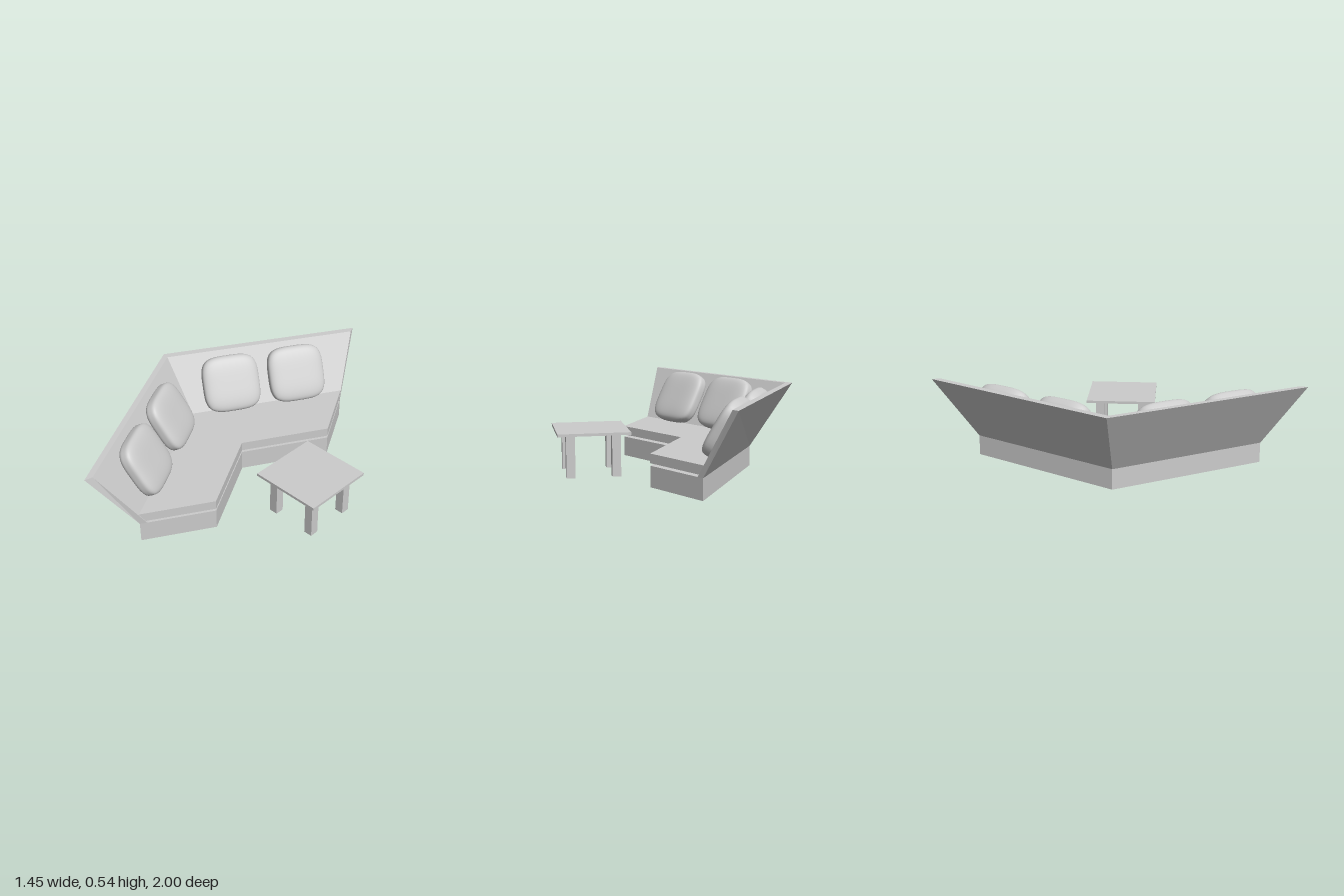
import * as THREE from 'three';
import { mergeVertices } from 'three/addons/utils/BufferGeometryUtils.js';

const flat = new THREE.MeshStandardMaterial({ color: 0xcccccc, flatShading: true });
const smooth = new THREE.MeshStandardMaterial({ color: 0xcccccc });

// Angled sofa footprint as [x, z]
const PLAN = [[-0.49, 0.84], [-0.49, -0.2], [0.41, -0.715], [0.41, -0.26], [-0.09, 0.03], [-0.09, 0.615]];

function add(parent, name, geometry, material = flat) {
  const mesh = new THREE.Mesh(geometry, material);
  mesh.name = name;
  parent.add(mesh);
  return mesh;
}

// Horizontal slab over the footprint
function slab(bottom, top) {
  const shape = new THREE.Shape(PLAN.map(([x, z]) => new THREE.Vector2(x, -z)));
  return new THREE.ExtrudeGeometry(shape, { depth: top - bottom, bevelEnabled: false })
    .rotateX(-Math.PI / 2).translate(0, bottom, 0);
}

// Outward-leaning panel through three sections: outer bottom, outer top, inner top, inner bottom
function backrestGeometry() {
  const heights = [0.13, 0.54, 0.54, 0.13];
  const sections = [
    [[-0.49, 0.84], [-0.725, 1.0], [-0.69, 0.965], [-0.45, 0.82]],
    [[-0.49, -0.2], [-0.725, -0.35], [-0.69, -0.32], [-0.45, -0.175]],
    [[0.41, -0.715], [0.425, -1.0], [0.42, -0.95], [0.41, -0.67]],
  ];
  const positions = sections.flatMap((s) => s.flatMap(([x, z], k) => [x, heights[k], z]));
  const index = [0, 2, 1, 0, 3, 2, 8, 9, 10, 8, 10, 11];
  for (let i = 0; i < 2; i++) {
    for (let k = 0; k < 4; k++) {
      const a = i * 4 + k, b = i * 4 + (k + 1) % 4;
      index.push(a, b, b + 4, a, b + 4, a + 4);
    }
  }
  const geometry = new THREE.BufferGeometry();
  geometry.setAttribute('position', new THREE.Float32BufferAttribute(positions, 3));
  geometry.setIndex(index);
  const faceted = geometry.toNonIndexed();
  faceted.computeVertexNormals();
  return faceted;
}

// Soft pillow: a subdivided cube pushed onto a superellipsoid
function pillowGeometry(width, height, depth) {
  const cube = new THREE.BoxGeometry(2, 2, 2, 14, 14, 14);
  cube.deleteAttribute('normal');
  cube.deleteAttribute('uv');
  const geometry = mergeVertices(cube);
  const p = geometry.attributes.position;
  const power = 3.8;
  for (let i = 0; i < p.count; i++) {
    const v = [p.getX(i), p.getY(i), p.getZ(i)];
    const r = v.reduce((sum, c) => sum + Math.abs(c) ** power, 0) ** (1 / power);
    p.setXYZ(i, v[0] / r * width / 2, v[1] / r * height / 2, v[2] / r * depth / 2);
  }
  geometry.computeVertexNormals();
  return geometry;
}

function createSofa() {
  const sofa = new THREE.Group();
  sofa.name = 'cornerSofa';
  add(sofa, 'sofaBase', slab(0, 0.13));
  add(sofa, 'seatCushion', slab(0.145, 0.203));
  add(sofa, 'backrest', backrestGeometry());

  // Two pillows per wing, leaning on the backrest: x, z, yaw
  const pillow = pillowGeometry(0.38, 0.37, 0.11);
  [
    [-0.538, 0.54, Math.PI / 2], [-0.538, 0.087, Math.PI / 2],
    [-0.273, -0.374, Math.PI / 6], [0.116, -0.6, Math.PI / 6],
  ].forEach(([x, z, yaw], i) => {
    const mesh = add(sofa, `pillow${i + 1}`, pillow, smooth);
    mesh.position.set(x, 0.373, z);
    mesh.rotation.set(-Math.PI / 6, yaw, 0, 'YXZ');
  });
  return sofa;
}

function createTable() {
  const table = new THREE.Group();
  table.name = 'coffeeTable';
  add(table, 'tableTop', new THREE.BoxGeometry(0.452, 0.017, 0.452)).position.y = 0.278;
  const leg = new THREE.BoxGeometry(0.055, 0.27, 0.055);
  for (const x of [-0.142, 0.142]) {
    for (const z of [-0.142, 0.142]) {
      add(table, 'tableLeg', leg).position.set(x, 0.135, z);
    }
  }
  table.position.set(0.415, 0, 0.32);
  table.rotation.y = -Math.PI / 6;
  return table;
}

export function createModel() {
  const model = new THREE.Group();
  model.name = 'cornerSofaWithTable';
  model.add(createSofa(), createTable());
  return model;
}
